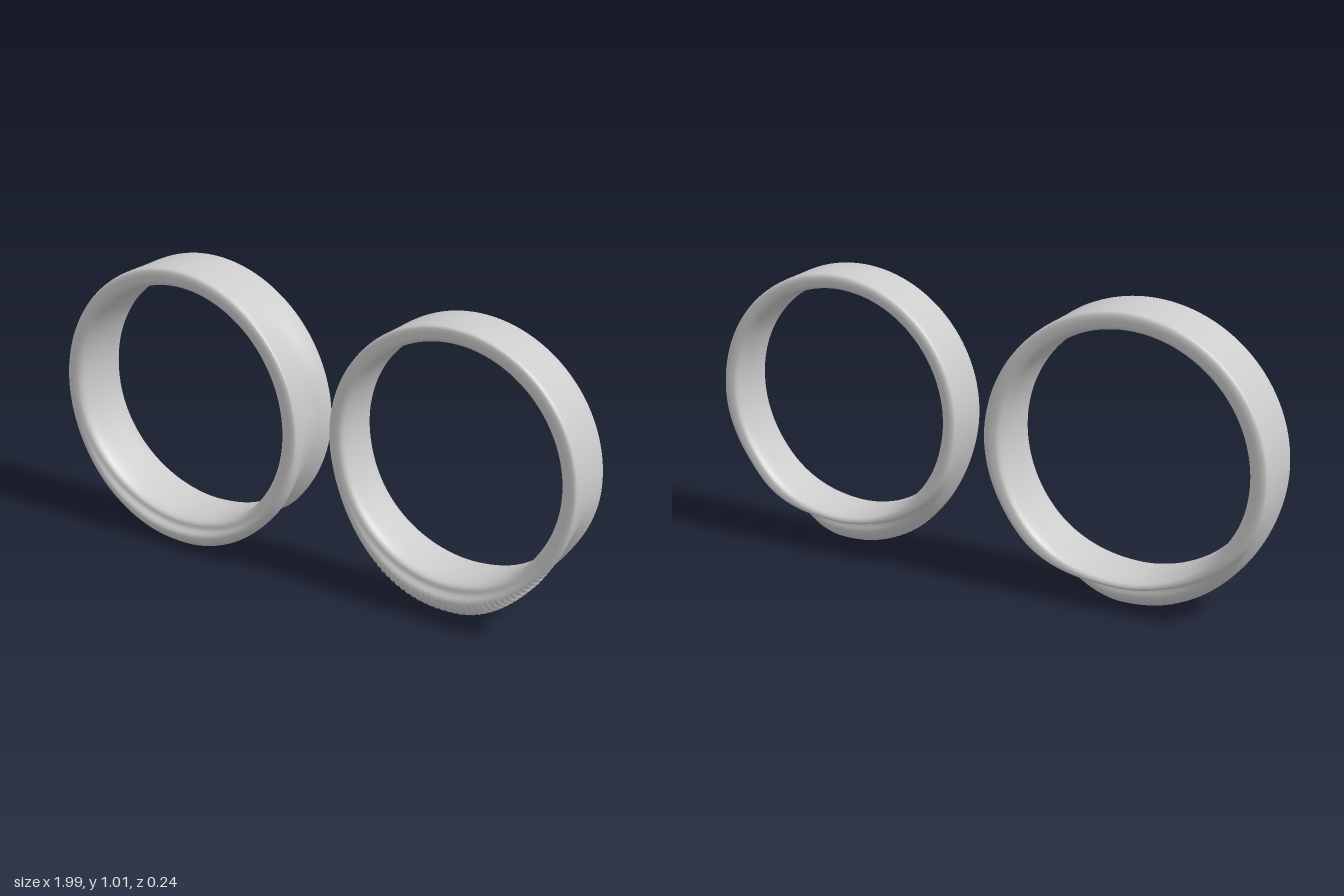
import * as THREE from 'three';

// Closed cross-sections as [height above the inner radius, z]:
// inner wall front to back, back edge, outer wall back to front, front edge.
const plain = [[0, .08], [0, 0], [0, -.09], [.012, -.115], [.03, -.12], [.05, -.12], [.062, -.114], [.065, -.095],
  [.065, -.05], [.065, 0], [.065, .05], [.065, .08], [.06, .1], [.045, .105], [.03, .105], [.012, .1]];
// waisted outer wall
const waisted = [[0, .08], [0, 0], [0, -.09], [.012, -.115], [.03, -.12], [.05, -.12], [.062, -.114], [.065, -.095],
  [.06, -.065], [.044, -.025], [.042, .035], [.052, .075], [.065, .1], [.05, .106], [.03, .105], [.012, .1]];
// the front strand rises while the back strand narrows
const parting = [[0, .08], [0, 0], [0, -.09], [.01, -.115], [.025, -.12], [.045, -.12], [.054, -.106], [.05, -.075],
  [.035, -.045], [.032, -.015], [.058, .025], [.07, .07], [.065, .1], [.047, .113], [.03, .106], [.012, .1]];
// thin rim carrying a rounded ridge, with a groove on either side
const ridge = [[-.016, .07], [-.022, 0], [-.016, -.09], [-.011, -.114], [0, -.12], [.007, -.116], [.01, -.1], [.012, -.078],
  [.045, -.082], [.085, -.045], [.096, .015], [.09, .075], [.065, .112], [.036, .118], [.016, .1], [-.004, .096]];

const smooth = (a, b, x) => THREE.MathUtils.smoothstep(x, a, b);

// Sweeps a cross-section around z, blending it between keys given at falling angles.
function makeRing({ name, x, y, radius, keys, segments, shape, relief }) {
  const SIDES = 44;
  const pos = [], index = [];
  for (let i = 0; i < segments; i++) {
    const deg = 90 - (i / segments) * 360;
    let k = 0;
    while (k < keys.length - 2 && deg < keys[k + 1].deg) k++;
    const a = keys[k], b = keys[k + 1];
    const w = 1 - smooth(b.deg, a.deg, deg);
    const swell = smooth(-170, -95, deg) * (1 - smooth(-85, -30, deg));
    const section = a.section.map(([t, z], n) => {
      const p = [t + (b.section[n][0] - t) * w, z + (b.section[n][1] - z) * w];
      const [t2, z2] = shape(p, swell);
      return new THREE.Vector3(t2, z2, 0);
    });
    const curve = new THREE.CatmullRomCurve3(section, true);
    const ang = THREE.MathUtils.degToRad(deg);
    for (let j = 0; j < SIDES; j++) {
      const p = curve.getPoint(j / SIDES);
      const r = radius + p.x + relief(deg, p.x, p.y);
      pos.push(Math.cos(ang) * r, Math.sin(ang) * r, p.y);
      const i2 = (i + 1) % segments, j2 = (j + 1) % SIDES;
      const A = i * SIDES + j, B = i2 * SIDES + j, C = i2 * SIDES + j2, D = i * SIDES + j2;
      index.push(A, D, B, B, D, C); // angles fall, so the winding follows
    }
  }
  const geo = new THREE.BufferGeometry();
  geo.setAttribute('position', new THREE.Float32BufferAttribute(pos, 3));
  geo.setIndex(index);
  geo.computeVertexNormals();
  const mesh = new THREE.Mesh(geo, new THREE.MeshStandardMaterial({ color: 0xcccccc, roughness: 0.6 }));
  mesh.name = name;
  mesh.position.set(x, y, 0);
  return mesh;
}

export function createModel() {
  const group = new THREE.Group();
  group.name = 'ringPair';

  // large ring, waisted on its left side
  group.add(makeRing({
    name: 'largeRing', x: -0.505, y: 0.525, radius: 0.426, segments: 240,
    keys: [
      { deg: 90, section: plain }, { deg: 65, section: plain }, { deg: 5, section: waisted },
      { deg: -42, section: parting }, { deg: -88, section: ridge }, { deg: -100, section: ridge },
      { deg: -170, section: plain }, { deg: -270, section: plain },
    ],
    shape: (p) => p,
    relief: () => 0,
  }));

  // small ring, narrower, with fine slanted notches on the ridge
  group.add(makeRing({
    name: 'smallRing', x: 0.543, y: 0.555, radius: 0.399, segments: 720,
    keys: [
      { deg: 90, section: plain }, { deg: -5, section: plain }, { deg: -45, section: parting },
      { deg: -85, section: ridge }, { deg: -97, section: ridge },
      { deg: -160, section: plain }, { deg: -270, section: plain },
    ],
    shape: ([t, z], swell) => [
      t * (0.86 + 0.2 * swell) + 0.019 * swell,
      z > 0 ? z * (0.62 + 0.18 * swell) : z,
    ],
    relief: (deg, t, z) => {
      const along = smooth(-130, -115, deg) * (1 - smooth(-45, -32, deg));
      const across = smooth(0.05, 0.07, t) * smooth(-0.02, 0.02, z);
      return 0.004 * along * across * Math.sin(THREE.MathUtils.degToRad(deg) * 144 + z * 45);
    },
  }));

  return group;
}
